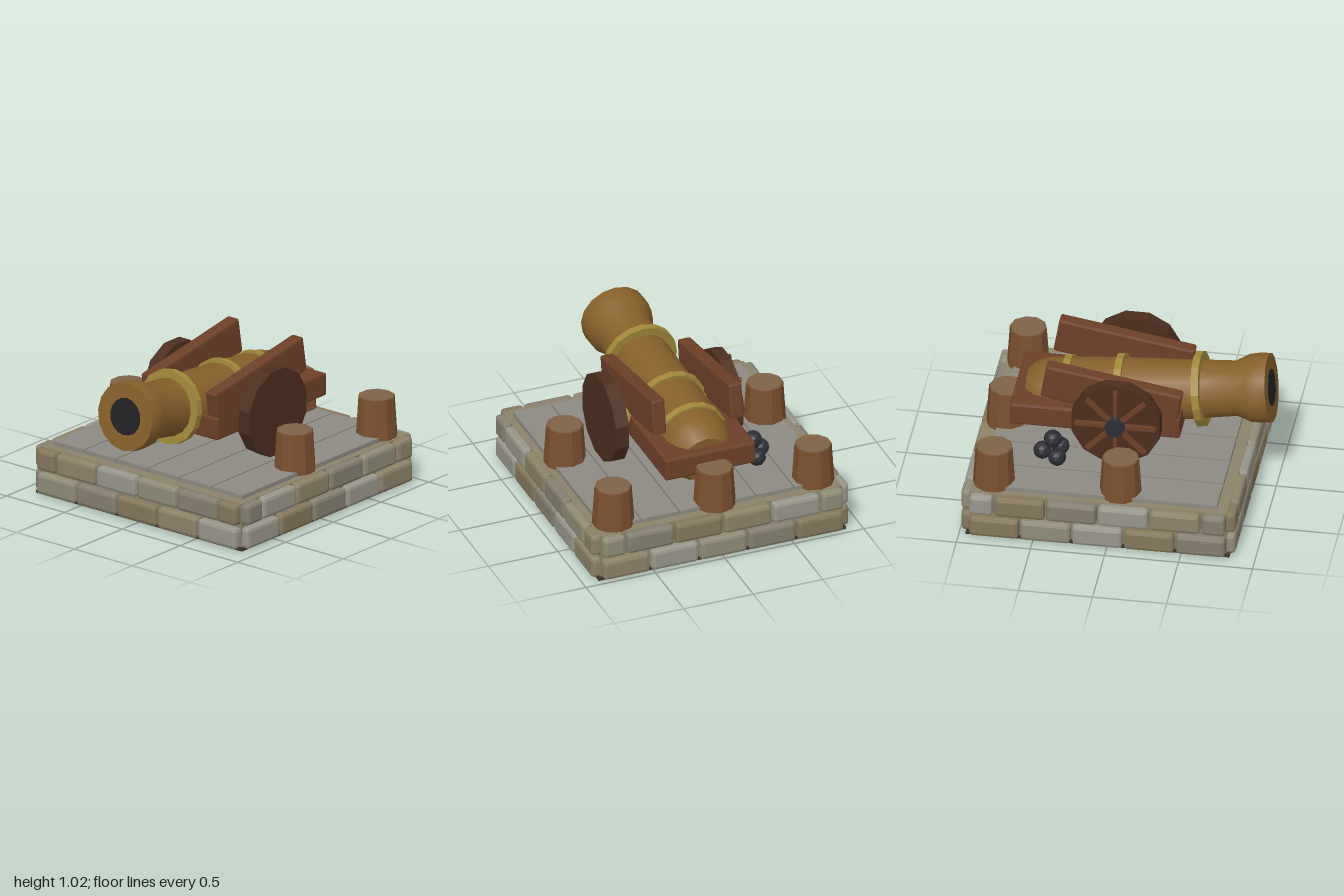
import * as THREE from 'three';
import { RoundedBoxGeometry } from 'three/addons/geometries/RoundedBoxGeometry.js';
import { toCreasedNormals } from 'three/addons/utils/BufferGeometryUtils.js';

const mat = (color, flatShading = true) => {
  const m = new THREE.MeshStandardMaterial({ color });
  m.flatShading = flatShading;
  return m;
};
const stone = [0x8f8b76, 0x85775c, 0x98968a, 0x857f70, 0x8d8168].map((c) => mat(c));
const mortar = mat(0x8b826a), ground = mat(0x3c342c), plankMat = mat(0x8d8a82);
const wood = mat(0x6d4029), darkWood = mat(0x4b2e1e), postWood = mat(0x7a5030), postTop = mat(0x7e6347);
const bronze = mat(0x87602b, false), brass = mat(0xa0873a), iron = mat(0x2c2e34), black = mat(0x222226);

function add(parent, name, geometry, material, x = 0, y = 0, z = 0) {
  const mesh = new THREE.Mesh(geometry, material);
  mesh.name = name;
  mesh.position.set(x, y, z);
  parent.add(mesh);
  return mesh;
}

function group(parent, name, x = 0, y = 0, z = 0) {
  const g = new THREE.Group();
  g.name = name;
  g.position.set(x, y, z);
  parent.add(g);
  return g;
}

// Box with chamfered edges
const chamferBox = (w, h, d, c = 0.025) => new RoundedBoxGeometry(w, h, d, 1, c);

// Stone platform: core, two courses of blocks in running bond, plank deck
function buildPlatform(parent) {
  const base = group(parent, 'platform', 0, 0, -0.065);
  add(base, 'foundation', new THREE.BoxGeometry(1.78, 0.02, 1.78), ground, 0, 0.01, 0);
  add(base, 'core', new THREE.BoxGeometry(1.74, 0.31, 1.74), mortar, 0, 0.173, 0);
  const courses = [
    { y: 0.083, joints: [-0.87, -0.525, -0.175, 0.175, 0.525, 0.87] },
    { y: 0.251, joints: [-0.87, -0.7, -0.35, 0, 0.35, 0.7, 0.87] },
  ];
  courses.forEach(({ y, joints }, row) => {
    for (let side = 0; side < 4; side++) {
      const wall = group(base, 'wall');
      wall.rotation.y = (side * Math.PI) / 2;
      for (let i = 0; i + 1 < joints.length; i++) {
        const a = joints[i], b = joints[i + 1];
        const tone = stone[(i * 3 + side * 2 + row + ((i * side) % 2)) % stone.length];
        const depth = 0.12 - 0.008 * ((i * 2 + side + row) % 2);
        add(wall, 'stoneBlock', chamferBox(b - a - 0.012, 0.148, depth), tone, (a + b) / 2, y, 0.927 - depth / 2);
      }
    }
  });
  for (let i = 0; i < 6; i++) {
    add(base, 'plank', new THREE.BoxGeometry(0.264, 0.04, 1.6), plankMat, (i - 2.5) * 0.275, 0.337, -0.005);
  }
}

// Tapered mooring post with paler cut top
function buildPost(parent, x, z) {
  const post = group(parent, 'post', x, 0.33, z);
  add(post, 'postTrunk', new THREE.CylinderGeometry(0.125, 0.143, 0.28, 10), postWood, 0, 0.14, 0);
  add(post, 'postTop', new THREE.CylinderGeometry(0.118, 0.118, 0.01, 10), postTop, 0, 0.279, 0);
}

// Barrel, built along y with the muzzle at the origin, then tilted forward
function buildBarrel(parent) {
  const barrel = group(parent, 'barrel', 0, 0.79, 0.968);
  barrel.rotation.x = Math.PI / 2 - 0.128;
  const profile = [
    [0, -1.645], [0.17, -1.64], [0.215, -1.58], [0.238, -1.48], [0.236, -1.35], [0.225, -1.0],
    [0.21, -0.7], [0.198, -0.45], [0.188, -0.23], [0.232, -0.13], [0.238, -0.06], [0.235, 0],
    [0.13, 0], [0.125, -0.1],
  ].map(([r, y]) => new THREE.Vector2(r, y));
  add(barrel, 'barrelTube', toCreasedNormals(new THREE.LatheGeometry(profile, 16), 0.9), bronze);
  add(barrel, 'bore', new THREE.CylinderGeometry(0.127, 0.127, 0.09, 16), black, 0, -0.042, 0);
  for (const [s, r] of [[0.475, 0.255], [1.005, 0.251], [1.36, 0.252]]) {
    add(barrel, 'barrelBand', new THREE.CylinderGeometry(r, r, 0.05, 16), brass, 0, -s, 0);
  }
}

// Carriage: bed, tilted cheeks and trunnion
function buildCarriage(parent) {
  const carriage = group(parent, 'carriage');
  add(carriage, 'bed', chamferBox(0.65, 0.16, 1.15, 0.015), wood, 0, 0.61, -0.175);
  for (const s of [-1, 1]) {
    const cheek = add(carriage, 'cheek', chamferBox(0.095, 0.25, 0.93, 0.014), wood, s * 0.278, 0.816, -0.065);
    cheek.rotation.x = 0.165;
  }
  const trunnion = add(carriage, 'trunnion', new THREE.CylinderGeometry(0.055, 0.055, 0.77, 10), brass, 0, 0.665, -0.07);
  trunnion.rotation.z = Math.PI / 2;
}

// Twelve-sided wheel disc lying across x
function buildWheel(parent, x, thickness) {
  const wheel = group(parent, 'wheel', x, 0.66, -0.018);
  const disc = new THREE.CylinderGeometry(0.308, 0.308, thickness, 12);
  disc.rotateY(Math.PI / 12).rotateZ(Math.PI / 2);
  add(wheel, 'wheelDisc', disc, darkWood);
  return wheel;
}

function buildWheels(parent) {
  buildWheel(parent, 0.458, 0.095);
  const spoked = buildWheel(parent, -0.372, 0.085);
  for (let i = 0; i < 4; i++) {
    const spoke = add(spoked, 'spoke', new THREE.BoxGeometry(0.04, 0.55, 0.03), wood, -0.05, 0, 0);
    spoke.rotation.x = (i * Math.PI) / 4;
  }
  const hub = add(spoked, 'hub', new THREE.CylinderGeometry(0.068, 0.068, 0.08, 10), iron, -0.058, 0, 0);
  hub.rotation.z = Math.PI / 2;
}

export function createModel() {
  const model = new THREE.Group();
  model.name = 'cannonOnPlatform';
  buildPlatform(model);
  for (const x of [-0.72, 0.72]) {
    for (const z of [-0.79, 0.065]) buildPost(model, x, z);
  }
  buildPost(model, 0, -0.815);
  buildBarrel(model);
  buildCarriage(model);
  buildWheels(model);

  // Stack of shot
  const shot = group(model, 'shotPile');
  for (const [x, y, z] of [[-0.43, 0.418, -0.51], [-0.498, 0.418, -0.4], [-0.36, 0.418, -0.4], [-0.43, 0.515, -0.44]]) {
    add(shot, 'cannonball', new THREE.IcosahedronGeometry(0.062, 1), iron, x, y, z);
  }
  return model;
}
